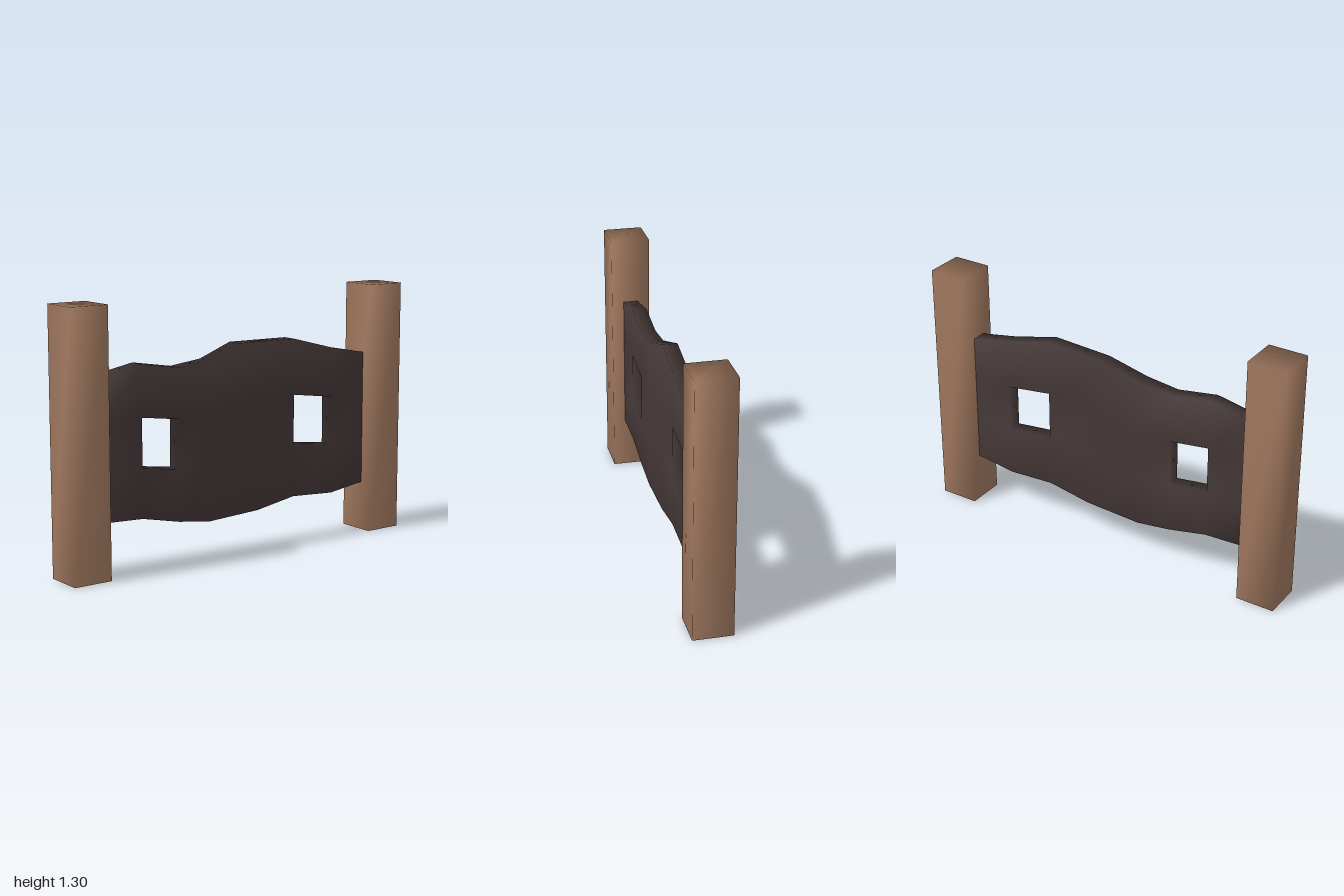
import * as THREE from 'three';
import { mergeVertices } from 'three/addons/utils/BufferGeometryUtils.js';

const wood = new THREE.MeshStandardMaterial({ color: 0xa47b61 });
wood.name = 'brown wood';
const darkBoard = new THREE.MeshStandardMaterial({ color: 0x463939 });
darkBoard.name = 'dark board';

// Square post with corners shared, so shading runs smoothly around it
function createPost(name, z) {
  let geometry = new THREE.BoxGeometry(0.2, 1.3, 0.2);
  geometry.deleteAttribute('normal');
  geometry.deleteAttribute('uv');
  geometry = mergeVertices(geometry);
  geometry.computeVertexNormals();
  const post = new THREE.Mesh(geometry, wood);
  post.name = name;
  post.position.set(0, 0.65, z);
  return post;
}

// Warped board: columns along z, each with four heights from bottom to top
function createBoard() {
  const columns = [
    { z: [0.8, 0.8], y: [0.265, 0.51, 0.75, 0.96] },
    { z: [0.58, 0.58], y: [0.255, 0.5, 0.745, 1.0] },
    { z: [0.37, 0.365], y: [0.21, 0.47, 0.715, 0.965] },
    { z: [0.19, 0.19], y: [0.185, 0.46, 0.72, 0.985] },
    { z: [-0.11, -0.01], y: [0.2, 0.49, 0.76, 1.05], lean: -0.025 },
    { z: [-0.34, -0.34], y: [0.24, 0.51, 0.765, 1.05] },
    { z: [-0.59, -0.59], y: [0.225, 0.48, 0.73, 0.985] },
    { z: [-0.8, -0.8], y: [0.255, 0.49, 0.73, 0.945] },
  ];
  const rows = 4;
  const halfThickness = 0.038;
  const positions = [];
  for (const side of [1, -1]) {
    for (const { z, y, lean = 0 } of columns) {
      y.forEach((height, j) => {
        const x = side * halfThickness + (j === rows - 1 ? lean : 0);
        positions.push(x, height, THREE.MathUtils.lerp(z[0], z[1], j / (rows - 1)));
      });
    }
  }

  // The two square openings are left out of the grid
  const isSolid = (i, j) =>
    i >= 0 && i < columns.length - 1 && j >= 0 && j < rows - 1 &&
    !(j === 1 && (i === 1 || i === 5));
  const back = columns.length * rows;
  const indices = [];
  const quad = (a, b, c, d) => indices.push(a, b, c, a, c, d);

  for (let i = 0; i < columns.length - 1; i++) {
    for (let j = 0; j < rows - 1; j++) {
      if (!isSolid(i, j)) continue;
      const a = i * rows + j;
      const corners = [a, a + rows, a + rows + 1, a + 1];
      quad(...corners);
      quad(...corners.map((v) => v + back).reverse());
      // Close the rim wherever the neighbouring cell is empty
      [[0, -1], [1, 0], [0, 1], [-1, 0]].forEach(([di, dj], k) => {
        if (isSolid(i + di, j + dj)) return;
        const p = corners[k];
        const q = corners[(k + 1) % 4];
        quad(q, p, p + back, q + back);
      });
    }
  }

  const geometry = new THREE.BufferGeometry();
  geometry.setAttribute('position', new THREE.Float32BufferAttribute(positions, 3));
  geometry.setIndex(indices);
  geometry.computeVertexNormals();
  const board = new THREE.Mesh(geometry, darkBoard);
  board.name = 'board';
  return board;
}

export function createModel() {
  const model = new THREE.Group();
  model.name = 'fencePanel';
  model.add(createPost('frontPost', 0.9), createPost('backPost', -0.9), createBoard());
  return model;
}
